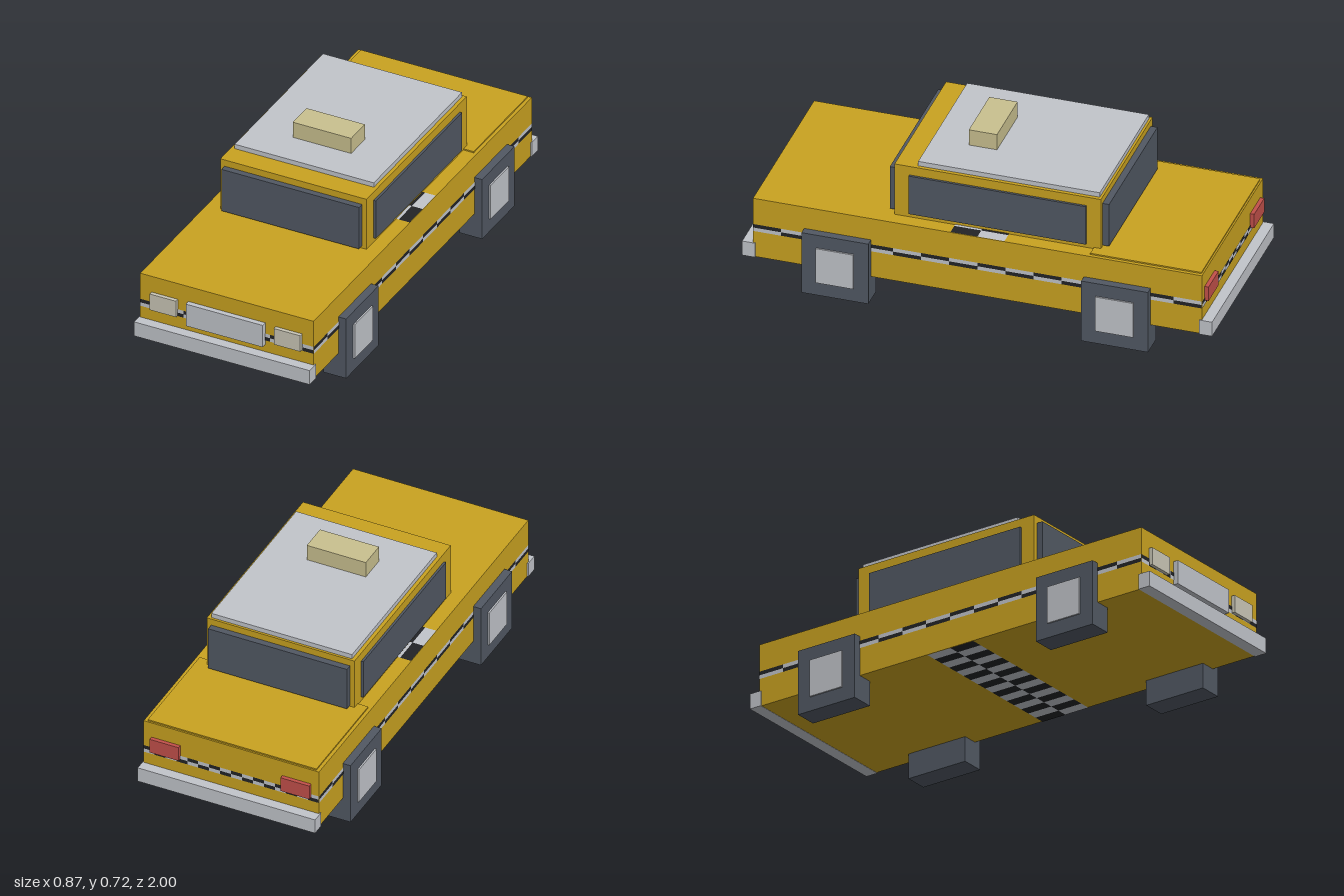
import * as THREE from 'three';
import { mergeGeometries } from 'three/addons/utils/BufferGeometryUtils.js';

const mat = (name, color) => {
  const m = new THREE.MeshStandardMaterial({ color });
  m.name = name;
  return m;
};

export function createModel() {
  const car = new THREE.Group();
  car.name = 'taxi';
  const yellow = mat('yellow paint', 0xc9a220);
  const dark = mat('dark glass and rubber', 0x515863);
  const silver = mat('silver', 0xc1c4ca);
  const lamp = mat('headlight', 0xc9c6b6);
  const cream = mat('sign cream', 0xc9c08f);
  const red = mat('tail red', 0xc2504a);
  const black = mat('checker black', 0x222326);

  // Box given by its extents on each axis
  const box = (name, m, [x0, x1], [y0, y1], [z0, z1]) => {
    const mesh = new THREE.Mesh(new THREE.BoxGeometry(x1 - x0, y1 - y0, z1 - z0), m);
    mesh.position.set((x0 + x1) / 2, (y0 + y1) / 2, (z0 + z1) / 2);
    mesh.name = name;
    car.add(mesh);
    return mesh;
  };

  // Body, boot lid, cabin, roof and sign
  const W = 0.79, H = 0.275, L = 1.91, midY = 0.2475;
  box('body', yellow, [-W / 2, W / 2], [0.11, 0.385], [-L / 2, L / 2]);
  box('bootLid', yellow, [-0.38, 0.38], [0.37, 0.391], [-0.948, -0.475]);
  box('cabin', yellow, [-0.333, 0.333], [0.38, 0.624], [-0.505, 0.373]);
  box('roofPanel', silver, [-0.317, 0.317], [0.62, 0.645], [-0.495, 0.278]);
  box('roofSign', cream, [-0.133, 0.133], [0.64, 0.717], [0.003, 0.123]);

  // Windows
  box('windscreen', dark, [-0.313, 0.313], [0.396, 0.594], [0.35, 0.4]);
  box('rearWindow', dark, [-0.313, 0.313], [0.396, 0.594], [-0.533, -0.48]);
  for (const s of [-1, 1]) {
    const span = (a, b) => (s > 0 ? [a, b] : [-b, -a]);
    box('sideWindow', dark, span(0.31, 0.343), [0.404, 0.584], [-0.444, 0.31]);
    box('headlight', lamp, span(0.223, 0.343), [0.234, 0.31], [0.94, 0.972]);
    box('tailLight', red, span(0.23, 0.36), [0.248, 0.314], [-0.972, -0.94]);
    box('bumper', silver, [-0.4, 0.4], [0.109, 0.176], span(0.945, 1));
    // Square wheels with hub plates
    for (const z of [-0.595, 0.595]) {
      box('wheel', dark, span(0.327, 0.43), [0, 0.284], [z - 0.142, z + 0.142]);
      box('hub', silver, span(0.4, 0.437), [0.062, 0.224], [z - 0.08, z + 0.08]);
    }
  }
  box('grille', silver, [-0.175, 0.175], [0.21, 0.314], [0.94, 0.978]);

  // Two-row checker band across the middle of every body face
  const cols = 16, off = 0.002;
  const faces = [
    [L, H, W, 0, Math.PI / 2], [L, H, W, 0, -Math.PI / 2],
    [W, H, L, 0, 0], [W, H, L, 0, Math.PI],
    [W, L, H, -Math.PI / 2, 0], [W, L, H, Math.PI / 2, 0],
  ];
  const tiles = [[], []];
  for (const [w, h, depth, rx, ry] of faces) {
    const tw = w / cols, th = h * 0.06;
    for (let c = 0; c < cols; c++) {
      for (let r = 0; r < 2; r++) {
        const g = new THREE.PlaneGeometry(tw, th);
        g.translate((c + 0.5) * tw - w / 2, (0.5 - r) * th, depth / 2 + off);
        g.rotateX(rx).rotateY(ry).translate(0, midY, 0);
        tiles[(c + r) % 2].push(g);
      }
    }
  }
  [['blackChecks', black], ['silverChecks', silver]].forEach(([name, m], i) => {
    const mesh = new THREE.Mesh(mergeGeometries(tiles[i]), m);
    mesh.name = name;
    car.add(mesh);
  });

  return car;
}
